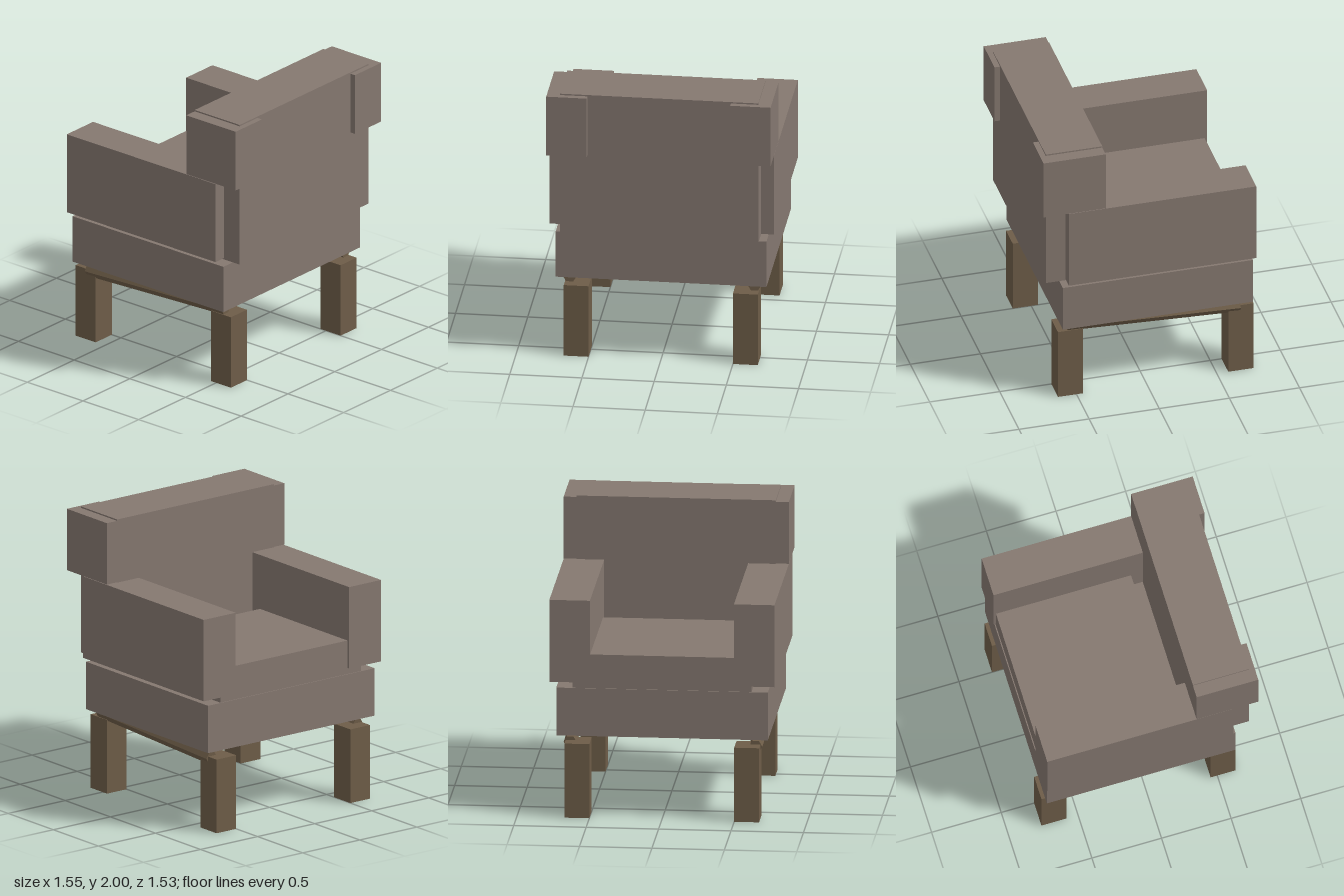
import * as THREE from 'three';

export function createModel() {
  const model = new THREE.Group();
  model.name = 'armchair';

  const fabric = new THREE.MeshStandardMaterial({ color: 0x857870 });
  fabric.name = 'taupe fabric';
  const wood = new THREE.MeshStandardMaterial({ color: 0x6e5d48 });
  wood.name = 'brown wood';

  // Box given by its lower and upper limits on each axis
  function block(name, material, [x0, x1], [y0, y1], [z0, z1]) {
    const mesh = new THREE.Mesh(new THREE.BoxGeometry(x1 - x0, y1 - y0, z1 - z0), material);
    mesh.position.set((x0 + x1) / 2, (y0 + y1) / 2, (z0 + z1) / 2);
    mesh.name = name;
    model.add(mesh);
  }

  // Upholstered body; the seat opens towards -z
  block('seatBase', fabric, [-0.73, 0.73], [0.58, 0.92], [-0.742, 0.613]);
  block('seatCushion', fabric, [-0.617, 0.617], [0.92, 1.16], [-0.735, 0.235]);
  block('backrest', fabric, [-0.687, 0.687], [0.953, 2.0], [0.32, 0.723]);

  for (const side of [-1, 1]) {
    const label = side > 0 ? 'left' : 'right';
    const span = (a, b) => (side > 0 ? [a, b] : [-b, -a]);

    // Armrest and the headrest wing above its rear end
    block(label + 'Armrest', fabric, span(0.497, 0.777), [0.963, 1.547], [-0.753, 0.583]);
    block(label + 'Wing', fabric, span(0.497, 0.777), [1.55, 1.99], [0.32, 0.763]);

    // Square legs
    block(label + 'SeatLeg', wood, span(0.5, 0.672), [0, 0.528], [-0.763, -0.582]);
    block(label + 'BackLeg', wood, span(0.5, 0.672), [0, 0.528], [0.452, 0.632]);

    // Sloping six-sided rail between the legs
    const start = new THREE.Vector3(side * 0.64, 0.513, -0.668);
    const end = new THREE.Vector3(side * 0.64, 0.564, 0.56);
    const rail = new THREE.CylinderGeometry(0.046, 0.046, start.distanceTo(end), 6);
    rail.rotateY(Math.PI / 6);
    rail.rotateX(Math.PI / 2 - Math.atan2(end.y - start.y, end.z - start.z));
    const flat = rail.toNonIndexed();
    flat.computeVertexNormals();
    const railMesh = new THREE.Mesh(flat, wood);
    railMesh.position.copy(start).add(end).multiplyScalar(0.5);
    railMesh.name = label + 'Rail';
    model.add(railMesh);
  }

  return model;
}
